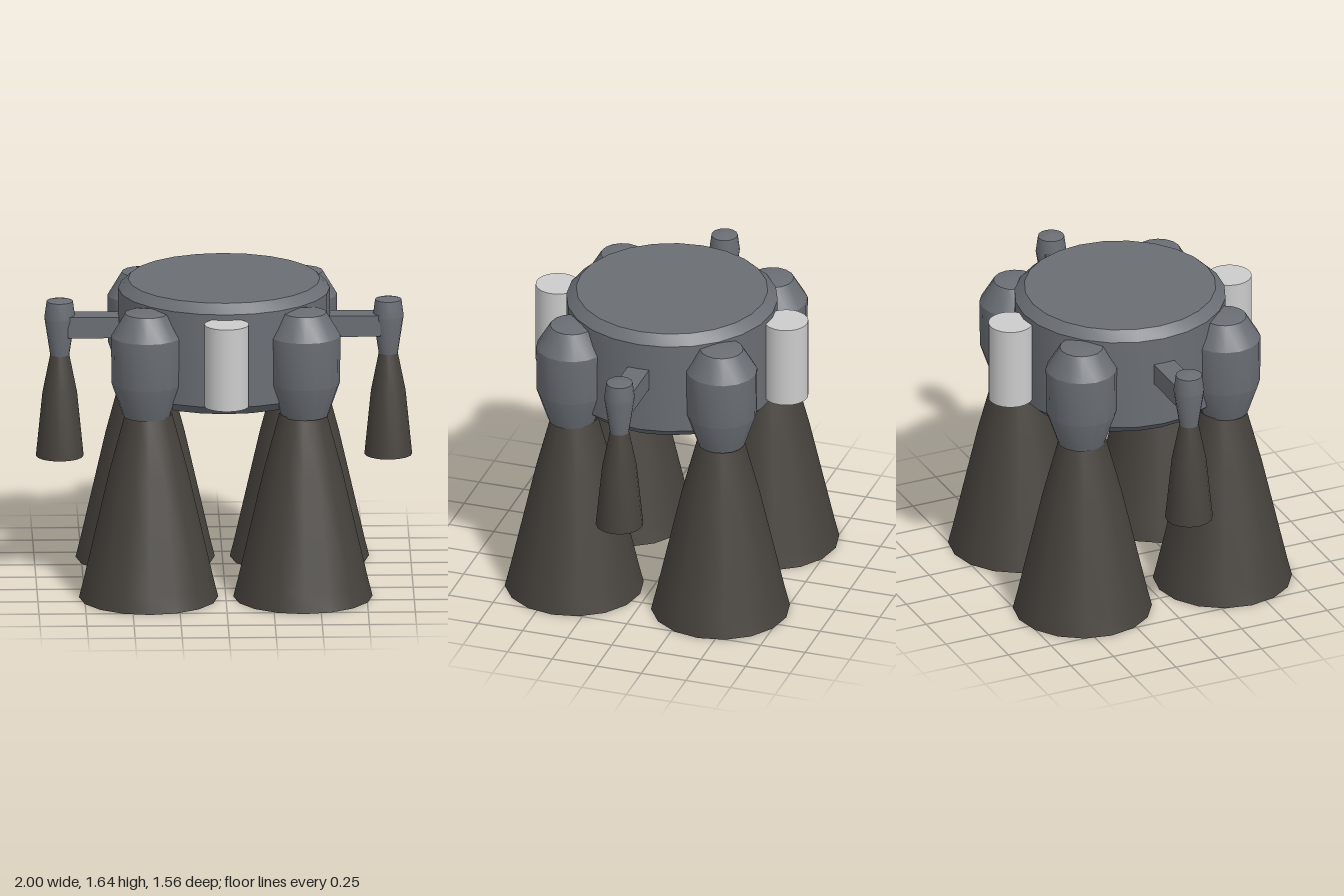
import * as THREE from 'three';
import { toCreasedNormals } from 'three/addons/utils/BufferGeometryUtils.js';

const hull = new THREE.MeshStandardMaterial({ color: 0x6a6e74 });
const soot = new THREE.MeshStandardMaterial({ color: 0x46423d });
const pale = new THREE.MeshStandardMaterial({ color: 0xcccccc });

function add(parent, name, geometry, material, x = 0, y = 0, z = 0) {
  const mesh = new THREE.Mesh(geometry, material);
  mesh.name = name;
  mesh.position.set(x, y, z);
  parent.add(mesh);
  return mesh;
}

// Turned part from [radius, height] pairs, smooth around and sharp at strong bends
function turned(profile, sides) {
  const points = profile.map(([r, y]) => new THREE.Vector2(r, y));
  return toCreasedNormals(new THREE.LatheGeometry(points, sides), 0.45);
}

// Hollow bell: inner wall downwards, rim, then outer wall upwards
function bell(outer, wall, sides) {
  const inner = outer.map(([r, y]) => [r - wall, y]).reverse();
  return turned([[0, inner[0][1]], ...inner, ...outer], sides);
}

export function createModel() {
  const model = new THREE.Group();

  // Central drum with bevelled rims
  add(model, 'drum', turned([
    [0, 1.03], [0.51, 1.03], [0.563, 1.08], [0.563, 1.59], [0.51, 1.64], [0, 1.64],
  ], 24), hull);

  // Four main engines
  const mainBell = bell([[0.37, 0], [0.345, 0.1], [0.21, 0.69], [0.125, 1.01]], 0.02, 16);
  const mainChamber = turned([
    [0, 1.0], [0.125, 1.0], [0.187, 1.18], [0.19, 1.44], [0.115, 1.565], [0, 1.59],
  ], 16);
  for (const x of [-1, 1]) {
    for (const z of [-1, 1]) {
      const engine = new THREE.Group();
      engine.name = 'mainEngine';
      add(engine, 'mainNozzle', mainBell, soot, 0.41 * x, 0, 0.41 * z);
      add(engine, 'mainChamber', mainChamber, hull, 0.42 * x, 0, 0.42 * z);
      model.add(engine);
    }
  }

  // Two small steering engines on arms
  const smallBell = bell([[0.127, 0.67], [0.092, 1.02], [0.05, 1.23]], 0.012, 16);
  const smallChamber = turned([
    [0, 1.22], [0.05, 1.22], [0.082, 1.43], [0.07, 1.52], [0, 1.538],
  ], 16);
  for (const x of [-1, 1]) {
    const engine = new THREE.Group();
    engine.name = 'steeringEngine';
    add(engine, 'steeringNozzle', smallBell, soot, 0.873 * x);
    add(engine, 'steeringChamber', smallChamber, hull, 0.873 * x);
    add(engine, 'arm', new THREE.BoxGeometry(0.27, 0.115, 0.12), hull, 0.695 * x, 1.387, 0);
    model.add(engine);
  }

  // Front and back tanks
  const tank = new THREE.CylinderGeometry(0.118, 0.118, 0.45, 32);
  add(model, 'frontTank', tank, pale, 0, 1.335, 0.64);
  add(model, 'backTank', tank, pale, 0, 1.335, -0.64);

  return model;
}
